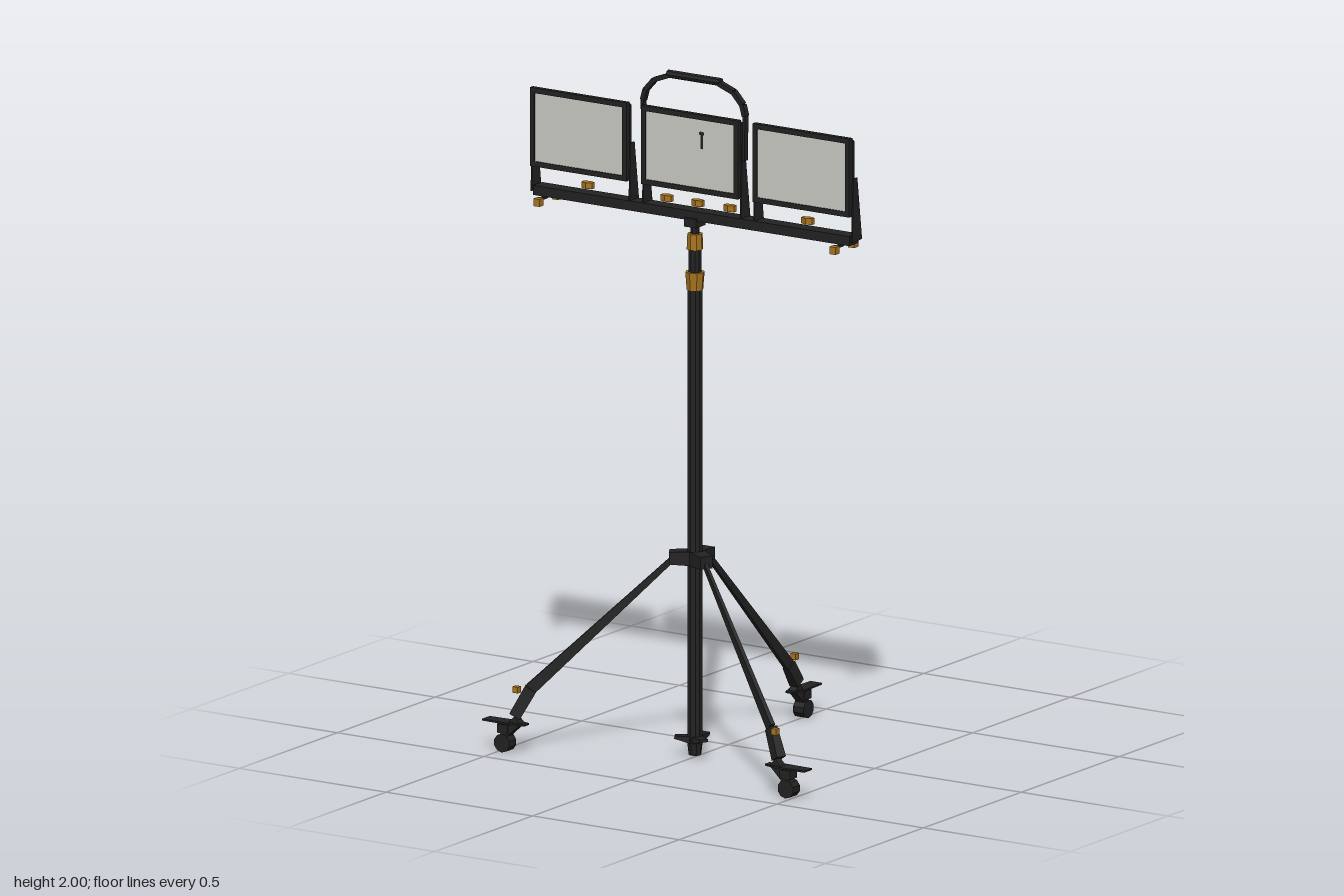
import * as THREE from 'three';

const mat = (name, color) => {
  const m = new THREE.MeshStandardMaterial({ color, flatShading: true });
  m.name = name;
  return m;
};

export function createModel() {
  const black = mat('black metal', 0x222222);
  const brass = mat('brass', 0xa8741f);
  const glass = mat('lamp glass', 0xcacac3);
  const root = new THREE.Group();
  const PZ = 0.17; // depth of the pole axis

  const add = (name, geo, m, x = 0, y = 0, z = 0, parent = root) => {
    const mesh = new THREE.Mesh(geo, m);
    mesh.name = name;
    mesh.position.set(x, y, z);
    parent.add(mesh);
    return mesh;
  };
  const box = (w, h, d) => new THREE.BoxGeometry(w, h, d);
  const cyl = (r1, r2, h, n = 8) => new THREE.CylinderGeometry(r1, r2, h, n);

  // Bar between two points, tapering from size [w, h] to another
  const beam = (name, a, b, s0, s1, parent = root) => {
    const A = new THREE.Vector3(...a), B = new THREE.Vector3(...b);
    const g = box(1, 1, A.distanceTo(B)), p = g.attributes.position;
    for (let i = 0; i < p.count; i++) {
      const s = p.getZ(i) < 0 ? s0 : s1;
      p.setXY(i, p.getX(i) * s[0], p.getY(i) * s[1]);
    }
    g.computeVertexNormals();
    const mid = A.clone().add(B).multiplyScalar(0.5);
    const mesh = add(name, g, black, mid.x, mid.y, mid.z, parent);
    mesh.quaternion.setFromRotationMatrix(new THREE.Matrix4().lookAt(B, A, mesh.up));
  };

  // Telescopic pole with brass collars
  add('lowerPole', cyl(0.022, 0.022, 1.34, 10), black, 0, 0.71, PZ);
  add('middlePole', cyl(0.019, 0.019, 0.12, 10), black, 0, 1.44, PZ);
  add('upperPole', cyl(0.013, 0.013, 0.08, 8), black, 0, 1.55, PZ);
  add('lowerCollar', cyl(0.028, 0.024, 0.052), brass, 0, 1.395, PZ);
  add('upperCollar', cyl(0.022, 0.024, 0.046), brass, 0, 1.51, PZ);
  add('poleFoot', cyl(0.024, 0.018, 0.05), black, 0, 0.033, PZ);
  for (let i = 0; i < 3; i++) {
    const a = Math.PI / 6 + i * Math.PI * 2 / 3;
    const dx = Math.cos(a), dz = Math.sin(a);
    beam('poleFootFin', [0, 0.052, PZ], [dx * 0.058, 0.06, PZ + dz * 0.058], [0.035, 0.025], [0.025, 0.008]);
    // Three-armed hub
    beam('hubArm', [0, 0.585, PZ], [dx * 0.073, 0.585, PZ + dz * 0.073], [0.05, 0.042], [0.038, 0.036]);
  }

  // Legs with clamps, knobs and casters
  const legs = [
    { top: [0.05, 0.585, 0.2], low: [0.41, 0.19, 0.395], end: [0.45, 0.11, 0.415], foot: [0.48, 0.415], turn: 0 },
    { top: [-0.05, 0.585, 0.2], low: [-0.41, 0.19, 0.395], end: [-0.45, 0.11, 0.415], foot: [-0.48, 0.415], turn: Math.PI },
    { top: [0, 0.585, 0.11], low: [0, 0.17, -0.31], end: [0, 0.11, -0.35], foot: [0, -0.38], turn: Math.PI / 2 },
  ];
  for (const { top, low, end, foot, turn } of legs) {
    beam('leg', top, low, [0.009, 0.016], [0.014, 0.034]);
    beam('legClamp', low, end, [0.022, 0.036], [0.03, 0.034]);
    add('legKnob', box(0.018, 0.018, 0.018), brass, end[0] * 0.98, 0.189, end[2] + (end[0] ? 0.005 : 0.01));
    const f = new THREE.Group();
    f.name = 'casterFoot';
    f.position.set(foot[0], 0, foot[1]);
    f.rotation.y = turn;
    root.add(f);
    // Pedal plate, widening outwards
    const shape = new THREE.Shape([[-0.07, -0.012], [-0.03, -0.024], [0.07, -0.02], [0.07, 0.02], [-0.03, 0.024], [-0.07, 0.012]]
      .map(p => new THREE.Vector2(...p)));
    const plate = new THREE.ExtrudeGeometry(shape, { depth: 0.005, bevelEnabled: false });
    plate.rotateX(-Math.PI / 2);
    add('pedalPlate', plate, black, 0, 0.086, 0, f);
    beam('casterNeck', [-0.045, 0.1, 0], [0.005, 0.05, 0], [0.024, 0.03], [0.03, 0.024], f);
    add('casterHousing', box(0.035, 0.026, 0.036), black, 0.002, 0.07, 0, f);
    add('casterWheel', cyl(0.027, 0.027, 0.036, 10), black, 0.004, 0.028, 0, f).rotation.x = Math.PI / 2;
  }

  // Crossbar with brass fittings
  add('crossbar', box(1.08, 0.028, 0.046), black, 0, 1.588, PZ - 0.004);
  add('poleClamp', box(0.04, 0.026, 0.05), black, 0, 1.568, PZ);
  for (const x of [-0.375, -0.105, 0, 0.11, 0.375])
    add('mountBolt', cyl(0.021, 0.021, 0.018, 6), brass, x, 1.619, 0.155).scale.z = 0.6;
  for (const x of [-0.505, 0.505]) for (const s of [-1, 1]) {
    add('endKnob', box(0.02, 0.022, 0.022), brass, x, 1.563, 0.165 + s * 0.048);
    add('endKnobStem', box(0.008, 0.008, 0.04), black, x, 1.57, 0.165 + s * 0.025);
  }

  // Three floodlights
  const W = 0.33, H = 0.23, rect = (w, h, T) => new T([[-w, -h], [w, -h], [w, h], [-w, h]]
    .map(([x, y]) => new THREE.Vector2(x / 2, y / 2)));
  for (const x of [-0.38, 0, 0.38]) {
    const lamp = new THREE.Group();
    lamp.name = 'floodlight';
    lamp.position.set(x, 1.775, 0);
    root.add(lamp);
    const ring = rect(W, H, THREE.Shape);
    ring.holes.push(rect(W - 0.03, H - 0.03, THREE.Path));
    add('lampFrame', new THREE.ExtrudeGeometry(ring, { depth: 0.016, bevelEnabled: false }), black, 0, 0, 0.182, lamp);
    beam('lampHousing', [0, 0, 0.157], [0, 0, 0.185], [W - 0.02, H - 0.03], [W - 0.002, H - 0.002], lamp);
    add('lampGlass', box(W - 0.03, H - 0.03, 0.005), glass, 0, 0, 0.192, lamp);
    // Shallow cooling fins on the back
    for (let i = -4; i <= 4; i++)
      add('coolingFin', box(0.006, H - 0.05, 0.006), black, i * 0.033, 0, 0.155, lamp);
    // Tapered side brackets down to the crossbar
    for (const s of [-1, 1]) {
      const bx = x + s * (W / 2 + 0.002);
      beam('sideBracket', [bx, 1.585, 0.163], [bx, 1.77, 0.172], [0.004, 0.05], [0.004, 0.02]);
    }
  }
  add('glassMark', box(0.008, 0.05, 0.004), black, 0.04, 1.815, 0.194);
  add('glassMarkArm', box(0.016, 0.008, 0.004), black, 0.04, 1.835, 0.194);

  // Carry handle over the middle light
  const strap = [[0.172, 1.77], [0.174, 1.9], [0.165, 1.932], [0.135, 1.965], [0.085, 1.984]];
  for (const s of [-1, 1])
    for (let i = 0; i < strap.length - 1; i++) {
      const [a, b] = [strap[i], strap[i + 1]], size = [0.018, i ? 0.014 : 0.008];
      beam('handleStrap', [s * a[0], a[1], 0.172], [s * b[0], b[1], 0.172], size, size);
    }
  add('handleGrip', cyl(0.012, 0.012, 0.18, 8), black, 0, 1.988, 0.172).rotation.z = Math.PI / 2;

  return root;
}
